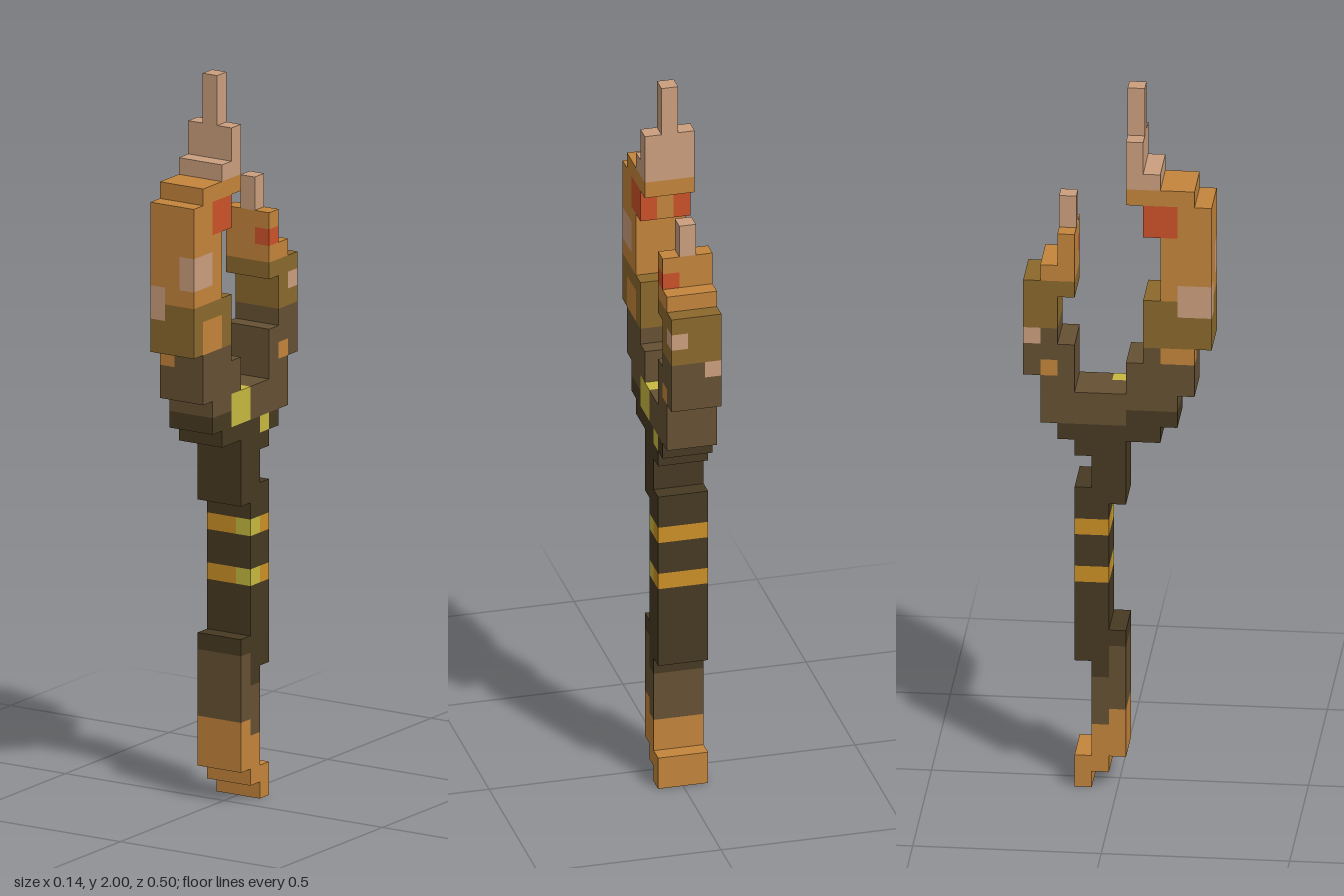
import * as THREE from 'three';
import { mergeGeometries } from 'three/addons/utils/BufferGeometryUtils.js';

const U = 2 / 44; // edge of one cube

const mat = (name, color) => {
  const m = new THREE.MeshStandardMaterial({ color });
  m.name = name;
  return m;
};

export function createModel() {
  const M = {
    orange: mat('orange', 0xc4853b),
    tan: mat('paleTan', 0xcb9f7e),
    olive: mat('oliveBrown', 0x8b692c),
    brown: mat('brown', 0x665133),
    dark: mat('darkBrown', 0x473a22),
    yellow: mat('yellow', 0xc7b93f),
    gold: mat('gold', 0xcc9126),
    red: mat('red', 0xcc5229),
  };

  // Cubes live on an integer lattice: x -1..1, row 0..43 upward, z -5..5
  const cells = new Map();
  const key = (x, y, z) => `${x},${y},${z}`;
  const fill = (part, color, [y0, y1], [z0, z1], [x0, x1] = [-1, 1]) => {
    for (let x = x0; x <= x1; x++)
      for (let y = y0; y <= y1; y++)
        for (let z = z0; z <= z1; z++)
          cells.set(key(x, y, z), { part, color, x, y, z });
  };
  // Recolours cubes that already exist
  const paint = (color, [y0, y1], [z0, z1], [x0, x1]) => {
    for (const c of cells.values())
      if (c.x >= x0 && c.x <= x1 && c.y >= y0 && c.y <= y1 && c.z >= z0 && c.z <= z1) c.color = color;
  };
  const L = [1, 1], R = [-1, -1], ALL = [-1, 1];

  // Hooked foot and lower grip
  fill('foot', 'orange', [0, 0], [-2, -2]);
  fill('foot', 'orange', [1, 1], [-2, -1]);
  fill('foot', 'orange', [2, 4], [-1, 0]);
  fill('lowerGrip', 'brown', [5, 7], [-1, 0]);
  fill('lowerGrip', 'dark', [8, 9], [-2, 0]);
  paint('brown', [4, 4], [-1, -1], ALL);
  paint('dark', [7, 7], [-1, -1], ALL);
  paint('brown', [8, 8], [0, 0], ALL);

  // Shaft with two banded rings
  fill('shaft', 'dark', [10, 17], [-2, -1]);
  for (const row of [13, 16]) {
    fill('ring', 'gold', [row, row], [-2, -1]);
    paint('yellow', [row, row], [-1, -1], L);
  }
  fill('shaft', 'dark', [18, 18], [-2, 0]);
  fill('shaft', 'dark', [19, 20], [-1, 0]);
  fill('shaft', 'dark', [21, 21], [-2, 0]);

  // Cradle joining the two prongs
  fill('cradle', 'dark', [22, 22], [-3, 2]);
  fill('cradle', 'brown', [23, 24], [-4, 3]);
  paint('dark', [23, 23], [1, 3], ALL);
  paint('yellow', [23, 24], [0, 1], L);
  paint('yellow', [22, 22], [-2, -2], L);

  // Tall front prong
  fill('frontProng', 'brown', [25, 26], [1, 4]);
  fill('frontProng', 'brown', [27, 27], [2, 4]);
  fill('frontProng', 'olive', [28, 30], [2, 5]);
  fill('frontProng', 'orange', [31, 34], [3, 5]);
  fill('frontProng', 'orange', [35, 36], [2, 5]);
  fill('frontProng', 'orange', [37, 37], [1, 4]);
  fill('frontTip', 'tan', [38, 38], [1, 2]);
  fill('frontTip', 'tan', [39, 40], [1, 1]);
  fill('frontTip', 'tan', [41, 43], [1, 1], [0, 0]);
  paint('red', [35, 36], [2, 3], L);
  paint('red', [35, 36], [2, 3], R);
  paint('tan', [32, 33], [4, 5], L);
  paint('orange', [28, 29], [3, 4], L);
  paint('tan', [30, 31], [4, 5], R);
  paint('orange', [27, 27], [3, 4], R);

  // Short back prong
  fill('backProng', 'brown', [25, 25], [-4, -3]);
  fill('backProng', 'brown', [26, 27], [-5, -3]);
  fill('backProng', 'brown', [28, 28], [-5, -4]);
  fill('backProng', 'olive', [29, 30], [-5, -4]);
  fill('backProng', 'olive', [31, 31], [-5, -3]);
  fill('backProng', 'orange', [32, 32], [-4, -3]);
  fill('backProng', 'orange', [33, 34], [-3, -3]);
  fill('backTip', 'tan', [35, 36], [-3, -3], [0, 0]);
  paint('red', [33, 33], [-3, -3], L);
  paint('tan', [30, 30], [-5, -5], L);
  paint('orange', [26, 26], [-4, -4], L);
  paint('tan', [28, 28], [-5, -5], R);
  paint('orange', [26, 26], [-4, -4], R);

  // Outward faces of a cube: neighbour direction and plane rotation
  const q = Math.PI / 2;
  const faces = [
    [1, 0, 0, 0, q], [-1, 0, 0, 0, -q],
    [0, 1, 0, -q, 0], [0, -1, 0, q, 0],
    [0, 0, 1, 0, 0], [0, 0, -1, 0, 2 * q],
  ];

  // Collect exposed faces by part and colour
  const parts = {};
  for (const { part, color, x, y, z } of cells.values()) {
    for (const [dx, dy, dz, rx, ry] of faces) {
      if (cells.has(key(x + dx, y + dy, z + dz))) continue;
      const g = new THREE.PlaneGeometry(U, U).rotateX(rx).rotateY(ry);
      g.translate((x + dx / 2) * U, (y + 0.5 + dy / 2) * U, (z + dz / 2) * U);
      const colors = (parts[part] ??= {});
      (colors[color] ??= []).push(g);
    }
  }

  const model = new THREE.Group();
  model.name = 'staff';
  for (const [part, colors] of Object.entries(parts)) {
    const group = new THREE.Group();
    group.name = part;
    for (const [color, geos] of Object.entries(colors)) {
      const mesh = new THREE.Mesh(mergeGeometries(geos), M[color]);
      mesh.name = `${part} ${color}`;
      group.add(mesh);
    }
    model.add(group);
  }
  return model;
}
